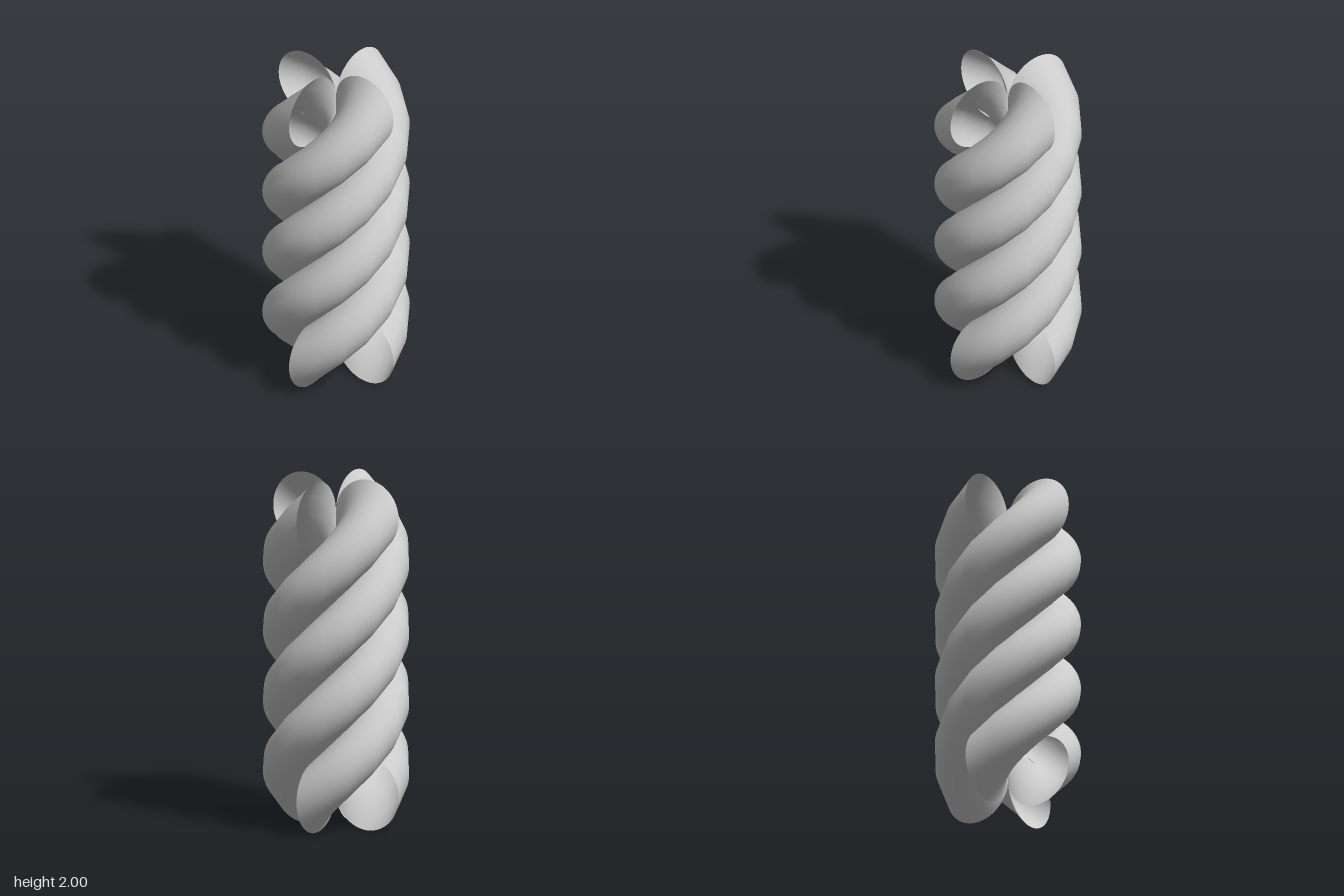
import * as THREE from 'three';
import { mergeVertices } from 'three/addons/utils/BufferGeometryUtils.js';

const STRANDS = 4;
const TURN_STEPS = 16;
const RADIUS = 0.207;           // tube radius, also its distance from the axis
const RISE = 2 - 2 * RADIUS;    // climb of one full turn

// Open circular tube swept once around the axis while climbing
function strandGeometry() {
  const profile = [];
  for (let i = 0; i <= 64; i++) {
    const a = (i / 64) * Math.PI * 2;
    profile.push(new THREE.Vector2(Math.max(0, RADIUS + RADIUS * Math.cos(a)), RADIUS * Math.sin(a)));
  }
  let geo = new THREE.LatheGeometry(profile, TURN_STEPS);
  const pos = geo.attributes.position;
  for (let i = 0; i < pos.count; i++) {
    const turn = Math.floor(i / profile.length) / TURN_STEPS;
    pos.setY(i, pos.getY(i) + RADIUS + turn * RISE);
  }
  // Weld the profile seam so the shading is smooth all round
  geo.deleteAttribute('uv');
  geo.deleteAttribute('normal');
  geo = mergeVertices(geo, 1e-5);
  geo.computeVertexNormals();
  return geo;
}

export function createModel() {
  const model = new THREE.Group();
  model.name = 'twistedColumn';
  const material = new THREE.MeshStandardMaterial({ color: 0xcccccc, side: THREE.DoubleSide });
  const geometry = strandGeometry();
  // Four identical strands, a quarter turn apart
  for (let i = 0; i < STRANDS; i++) {
    const strand = new THREE.Mesh(geometry, material);
    strand.name = `strand${i + 1}`;
    strand.rotation.y = (i / STRANDS) * Math.PI * 2;
    model.add(strand);
  }
  return model;
}
